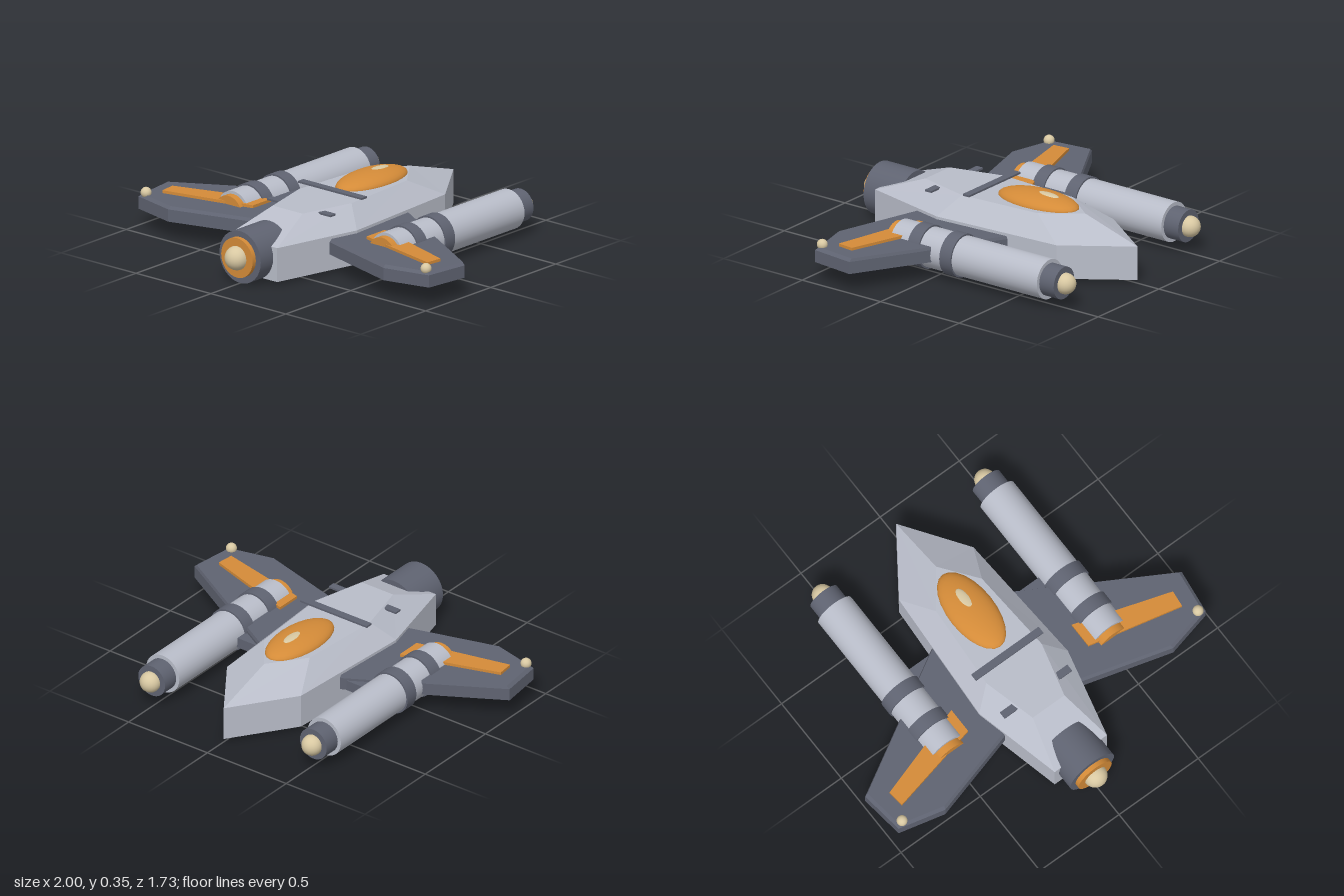
import * as THREE from 'three';

const paint = (name, color) => Object.assign(new THREE.MeshStandardMaterial({ color }), { name });

// Stacked convex rings: each layer is { y, pts: [[x, z], ...] }, ordered clockwise seen from above
function loft(layers) {
  const pos = [];
  const at = (layer, i) => {
    const [x, z] = layer.pts[i % layer.pts.length];
    return [x, layer.y, z];
  };
  const tri = (...corners) => corners.forEach((c) => pos.push(...c));
  const n = layers[0].pts.length;
  const bottom = layers[0], top = layers[layers.length - 1];
  for (let i = 1; i < n - 1; i++) {
    tri(at(bottom, 0), at(bottom, i), at(bottom, i + 1));
    tri(at(top, 0), at(top, i + 1), at(top, i));
  }
  for (let l = 0; l < layers.length - 1; l++) {
    const a = layers[l], b = layers[l + 1];
    for (let i = 0; i < n; i++) {
      tri(at(a, i + 1), at(a, i), at(b, i));
      tri(at(a, i + 1), at(b, i), at(b, i + 1));
    }
  }
  const geo = new THREE.BufferGeometry();
  geo.setAttribute('position', new THREE.Float32BufferAttribute(pos, 3));
  geo.computeVertexNormals();
  return geo;
}

// Outline placed on the given side (1 = left, -1 = right), keeping its winding
const onSide = (pts, s) => (s > 0 ? pts : pts.map(([x, z]) => [-x, z]).reverse());
// Full symmetric ring from a nose point and the points of one half
const symmetric = (nose, half) => [nose, ...half, ...onSide(half, -1)];
const shrink = (pts, cx, cz, k) => pts.map(([x, z]) => [cx + (x - cx) * k, cz + (z - cz) * k]);

export function createModel() {
  const model = new THREE.Group();
  model.name = 'spaceship';
  const grey = paint('light grey', 0xb9bdc9);
  const dark = paint('dark grey', 0x5f6371);
  const orange = paint('orange', 0xd48b38);
  const cream = paint('cream', 0xd8c8a2);

  const add = (name, geo, mat, x = 0, y = 0, z = 0, parent = model) => {
    const mesh = new THREE.Mesh(geo, mat);
    mesh.name = name;
    mesh.position.set(x, y, z);
    parent.add(mesh);
    return mesh;
  };
  const box = (name, w, h, d, mat, x, y, z) => add(name, new THREE.BoxGeometry(w, h, d), mat, x, y, z);
  const ball = (name, r, mat, x, y, z, parent) =>
    add(name, new THREE.SphereGeometry(r, 24, 16), mat, x, y, z, parent);
  // Cylinder lying along z between z0 and z1
  const tube = (name, r, z0, z1, mat, x, y, parent) =>
    add(name, new THREE.CylinderGeometry(r, r, z1 - z0, 32).rotateX(Math.PI / 2), mat, x, y, (z0 + z1) / 2, parent);

  // Hull: straight walls below, chamfered deck above
  const outline = symmetric([0, -0.865], [[0.235, -0.53], [0.28, 0.2], [0.165, 0.68]]);
  const deck = symmetric([0, -0.53], [[0.145, -0.34], [0.175, 0.12], [0.1, 0.41]]);
  add('hull', loft([{ y: 0.02, pts: outline }, { y: 0.2, pts: outline }, { y: 0.302, pts: deck }]), grey);

  // Canopy with a glint on top
  ball('canopy', 1, orange, 0, 0.3, -0.235).scale.set(0.121, 0.054, 0.243);
  ball('canopyGlint', 1, cream, 0, 0.345, -0.285).scale.set(0.03, 0.011, 0.075);

  // Cross bars over the deck
  box('frontBar', 0.425, 0.01, 0.04, dark, 0, 0.323, 0.065);
  box('rearBar', 0.425, 0.01, 0.04, dark, 0, 0.291, 0.305);

  // Main engine
  const engine = new THREE.Group();
  engine.name = 'mainEngine';
  model.add(engine);
  tube('engineShell', 0.138, 0.55, 0.775, dark, 0, 0.141, engine);
  tube('engineRing', 0.105, 0.76, 0.8, orange, 0, 0.143, engine);
  ball('engineGlow', 0.063, cream, 0, 0.143, 0.8, engine);

  const wing = [[0.2, -0.262], [1, 0.2], [0.97, 0.44], [0.72, 0.5], [0.2, 0.353]];
  const wingTop = shrink(wing, 0.6, 0.13, 0.96);
  const stripe = [[0.38, 0.1], [0.895, 0.265], [0.885, 0.355], [0.38, 0.24]];

  for (const s of [1, -1]) {
    const side = s > 0 ? 'left' : 'right';

    // Wing with bevelled top edge, stripe, tip lamp and root strut
    const edge = onSide(wing, s);
    add(side + 'Wing', loft([
      { y: 0.105, pts: edge }, { y: 0.17, pts: edge }, { y: 0.185, pts: onSide(wingTop, s) },
    ]), dark);
    const strip = onSide(stripe, s);
    add(side + 'WingStripe', loft([{ y: 0.183, pts: strip }, { y: 0.2, pts: strip }]), orange);
    ball(side + 'TipLamp', 0.028, cream, s * 0.935, 0.195, 0.422);
    box(side + 'Strut', 0.27, 0.055, 0.27, dark, s * 0.335, 0.13, -0.08);

    // Long pod with bands, nozzle and end caps
    const pod = new THREE.Group();
    pod.name = side + 'Pod';
    pod.position.set(s * 0.513, 0.141, 0);
    model.add(pod);
    tube('podBody', 0.105, -0.7, 0.237, grey, 0, 0, pod);
    tube('frontBand', 0.114, -0.157, -0.085, dark, 0, 0, pod);
    tube('rearBand', 0.114, 0.05, 0.122, dark, 0, 0, pod);
    tube('podNozzle', 0.085, -0.792, -0.69, dark, 0, 0, pod);
    ball('podTip', 0.055, cream, 0, 0, -0.802, pod);
    tube('podCap', 0.09, 0.22, 0.275, orange, 0, 0, pod);
  }
  return model;
}
